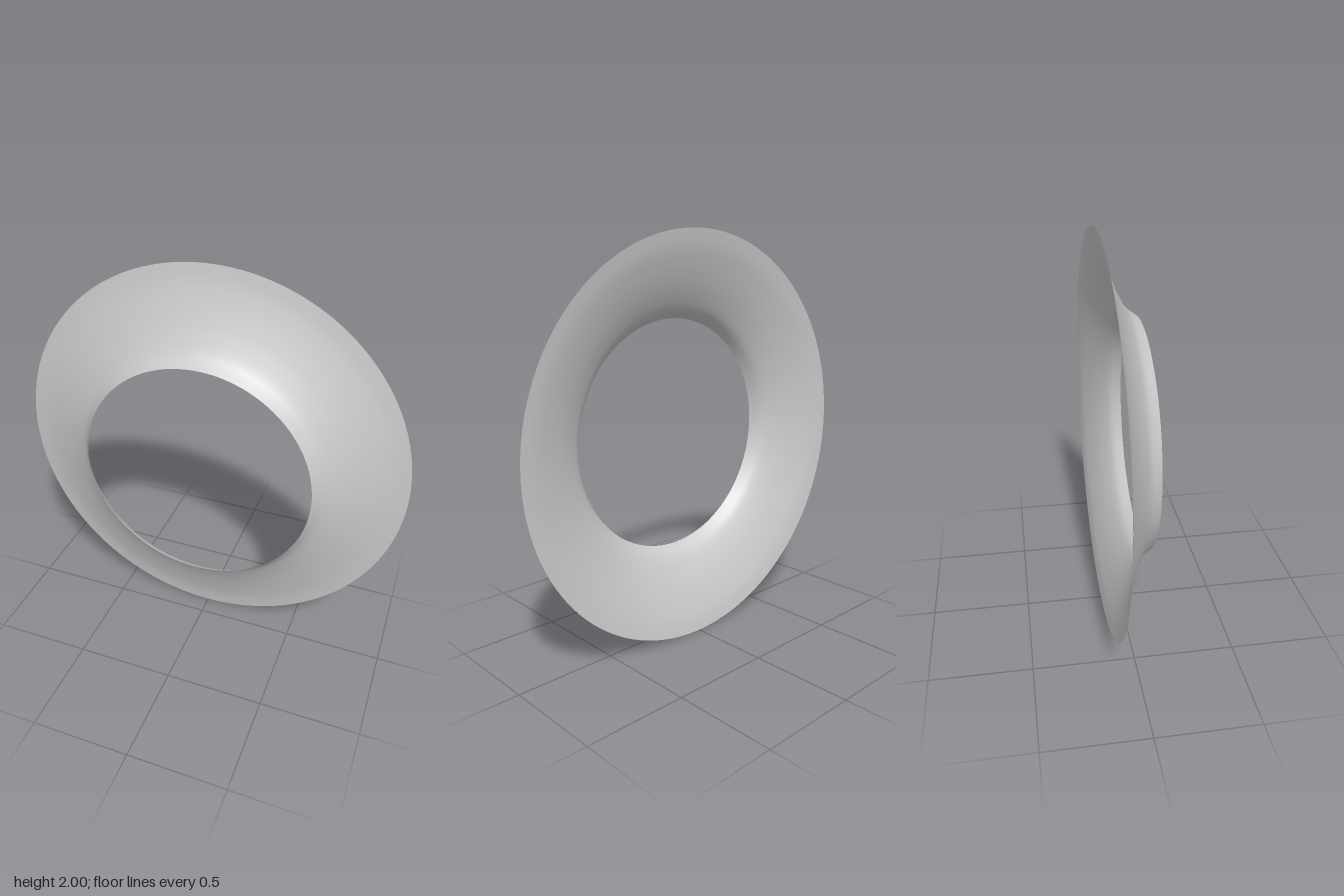
import * as THREE from 'three';

export function createModel() {
  const group = new THREE.Group();

  // Flared profile: x is the radius, y the depth towards the front
  const profile = new THREE.SplineCurve([
    [1, -0.1], [0.92, -0.085], [0.83, -0.057], [0.75, -0.026], [0.695, 0],
    [0.645, 0.028], [0.612, 0.055], [0.58, 0.1],
  ].map(([r, z]) => new THREE.Vector2(r, z))).getPoints(28);

  // Thin open ring, turned so its axis points to the front
  const geometry = new THREE.LatheGeometry(profile, 128);
  geometry.rotateX(Math.PI / 2);
  const ring = new THREE.Mesh(
    geometry,
    new THREE.MeshStandardMaterial({ color: 0xcccccc, side: THREE.DoubleSide })
  );
  ring.name = 'flaredRing';
  ring.position.y = 1;
  group.add(ring);
  return group;
}
